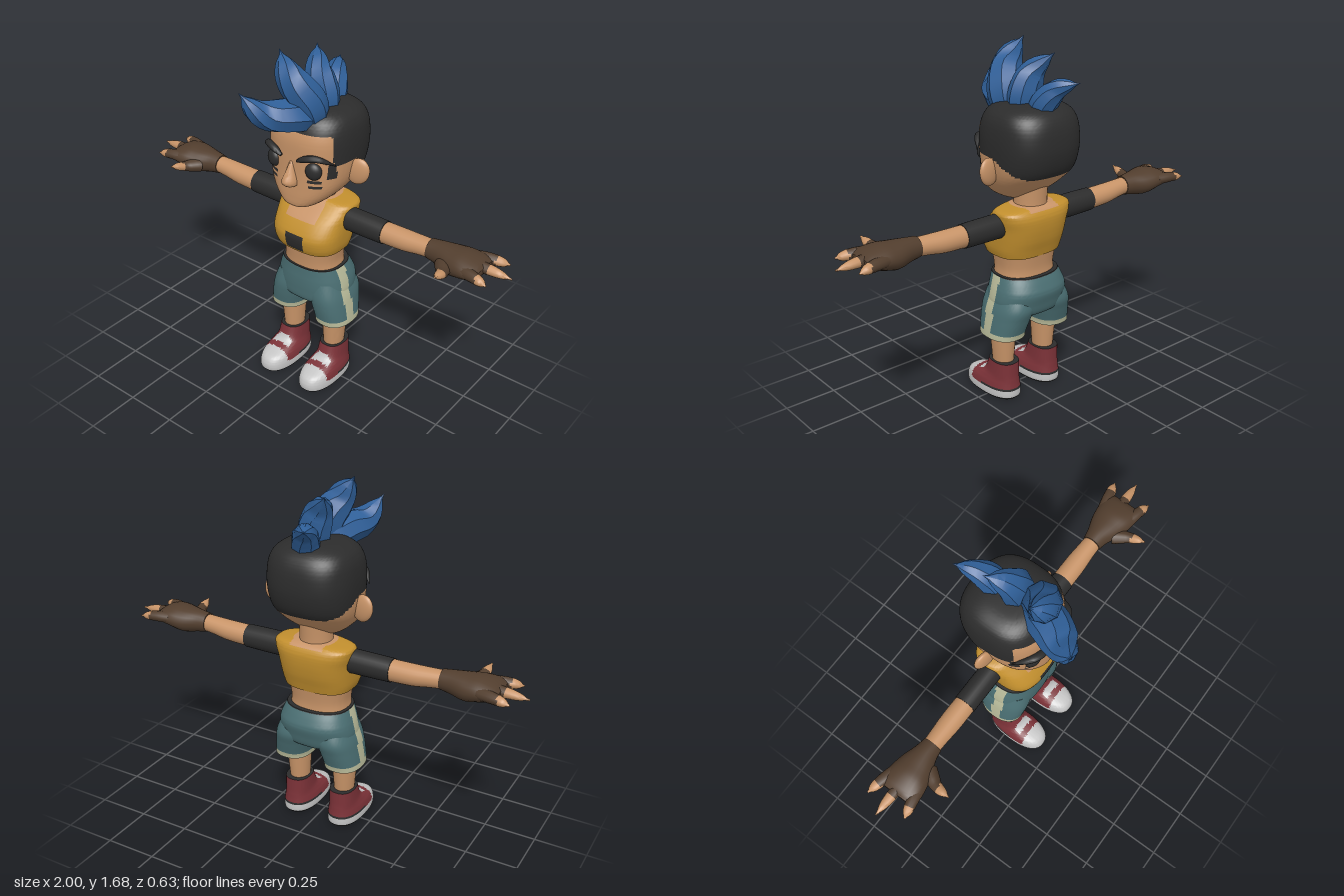
import * as THREE from 'three';
import { toCreasedNormals } from 'three/addons/utils/BufferGeometryUtils.js';

const V = (x, y, z) => new THREE.Vector3(x, y, z);

// Catmull-Rom refinement of a table of rows
function fine(rows, k) {
  const out = [], at = i => rows[Math.min(Math.max(i, 0), rows.length - 1)];
  for (let i = 0; i < rows.length - 1; i++) {
    for (let s = 0; s < k; s++) {
      const t = s / k;
      out.push(rows[i].map((b, c) => {
        const a = at(i - 1)[c], d = at(i + 1)[c], e = at(i + 2)[c];
        return b + 0.5 * t * (d - a + t * (2 * a - 5 * b + 4 * d - e + t * (3 * (b - d) + e - a)));
      }));
    }
  }
  out.push(rows[rows.length - 1]);
  return out;
}

// Closed superellipse outline as [cos, sin] pairs
const outline = (segs, n) => Array.from({ length: segs }, (_, j) => {
  const a = j / segs * Math.PI * 2, p = v => Math.sign(v) * Math.abs(v) ** (2 / n);
  return [p(Math.cos(a)), p(Math.sin(a))];
});

// Rings standing along y, rows [y, halfWidth, zFront, zBack, centreX]
const upright = (rows, { n = 2.4, segs = 80, k = 6 } = {}) =>
  fine(rows, k).map(([y, rx, zf, zb, cx = 0]) => outline(segs, n).map(([c, s]) =>
    V(cx + rx * c, y, (zf + zb) / 2 - (zf - zb) / 2 * s)));

// Rings along x, rows [x, centreY, radiusY, centreZ, radiusZ]
const sideways = rows => fine(rows, 5).map(([x, cy, ry, cz, rz]) =>
  outline(24, 2).map(([c, s]) => V(x, cy + ry * c, cz + rz * s)));

// Rings swept along a curve, radii given as [t-even table of scale]
function swept(points, side, ra, rb, profile, segs = 10, steps = 14) {
  const curve = new THREE.CatmullRomCurve3(points.map(p => V(...p)));
  const scale = fine(profile.map(v => [v]), 8);
  return Array.from({ length: steps + 1 }, (_, i) => {
    const t = i / steps, T = curve.getTangent(t), P = curve.getPoint(t);
    const A = side.clone().addScaledVector(T, -side.dot(T)).normalize(), B = T.clone().cross(A);
    const r = Math.max(scale[Math.round(t * (scale.length - 1))][0], 0.001);
    return outline(segs, 2).map(([c, s]) => P.clone().addScaledVector(A, ra * r * c).addScaledVector(B, rb * r * s));
  });
}

// Skin over rings with end caps; paint(x, y, z) picks a material index per face
function skin(name, rings, mats, paint = () => 0, mirror = 1, crease = 0.9) {
  if (mirror < 0) rings = rings.map(r => r.map(p => V(-p.x, p.y, p.z)).reverse());
  if (!Array.isArray(mats)) mats = [mats];
  const n = rings[0].length, m = rings.length, pts = rings.flat(), buckets = mats.map(() => []);
  const centre = r => r.reduce((s, p) => s.add(p), V(0, 0, 0)).divideScalar(n);
  pts.push(centre(rings[0]), centre(rings[m - 1]));
  const face = (...ids) => {
    const c = V(0, 0, 0);
    ids.forEach(i => c.addScaledVector(pts[i], 1 / ids.length));
    const b = buckets[paint(Math.abs(c.x), c.y, c.z)];
    b.push(ids[0], ids[1], ids[2]);
    if (ids.length > 3) b.push(ids[0], ids[2], ids[3]);
  };
  for (let j = 0; j < n; j++) {
    const q = (j + 1) % n;
    for (let i = 0; i < m - 1; i++) face(i * n + j, i * n + q, (i + 1) * n + q, (i + 1) * n + j);
    face(m * n, q, j);
    face(m * n + 1, (m - 1) * n + j, (m - 1) * n + q);
  }
  const geo = new THREE.BufferGeometry().setFromPoints(pts);
  geo.setIndex(buckets.flat());
  let start = 0;
  buckets.forEach((b, i) => { if (b.length) geo.addGroup(start, b.length, i); start += b.length; });
  const mesh = new THREE.Mesh(toCreasedNormals(geo, crease), mats);
  mesh.name = name;
  return mesh;
}

export function createModel() {
  const model = new THREE.Group();
  model.name = 'character';
  const mat = (name, color) => { const m = new THREE.MeshStandardMaterial({ color }); m.name = name; return m; };
  const tan = mat('skin', 0xc89468), black = mat('charcoal', 0x2c2c2c), blue = mat('blue hair', 0x2f5f98),
    yellow = mat('yellow cloth', 0xc28f2e), teal = mat('teal cloth', 0x4a6e72), cream = mat('cream trim', 0xb9bb9a),
    brown = mat('brown glove', 0x523e2e), red = mat('red canvas', 0x7c3238), white = mat('white rubber', 0xc4c4c4);
  const add = (...a) => model.add(skin(...a));
  const ball = (name, m, pos, size, rot = [0, 0, 0]) => {
    const b = new THREE.Mesh(new THREE.SphereGeometry(1, 24, 16), m);
    b.name = name; b.position.set(...pos); b.scale.set(...size); b.rotation.set(...rot);
    model.add(b);
  };

  // Head with shaved hair, sideburns and cheek marks
  const headPaint = (x, y, z) => {
    const edge = z > -0.07 ? 1.2 : Math.max(1.115, 1.2 + (z + 0.07) * 0.57);
    if (y > 1.345 || (z < 0.058 && y > edge)) return 1;
    if (z > 0.042 && z < 0.08 && x > 0.14 && y > 1.14 && y < 1.21) return 1;
    const mark = (y > 1.12 && y < 1.135) || (y > 1.094 && y < 1.108);
    return mark && z > 0 && x > 0.085 && x < 0.14 ? 1 : 0;
  };
  add('head', upright([
    [0.972, 0.045, 0.12, 0.0], [0.988, 0.09, 0.135, -0.08], [1.03, 0.14, 0.137, -0.14], [1.08, 0.175, 0.135, -0.2],
    [1.14, 0.195, 0.133, -0.255], [1.22, 0.204, 0.133, -0.28], [1.3, 0.204, 0.13, -0.28], [1.36, 0.193, 0.112, -0.265],
    [1.4, 0.165, 0.085, -0.235], [1.425, 0.11, 0.04, -0.18], [1.432, 0.03, -0.04, -0.1],
  ], { n: 2.6, segs: 112, k: 9 }), [tan, black], headPaint);
  add('nose', upright([[1.083, 0.012, 0.15, 0.1], [1.093, 0.032, 0.172, 0.1], [1.115, 0.034, 0.185, 0.1],
    [1.16, 0.02, 0.16, 0.1], [1.205, 0.01, 0.135, 0.1]], { n: 2, segs: 16, k: 4 }), tan);
  add('neck', upright([[0.9, 0.085, 0.0, -0.17], [0.96, 0.077, -0.005, -0.16], [1.08, 0.075, -0.01, -0.17]], { n: 2, segs: 32 }), tan);

  // Mohawk spikes, front to back
  const X = V(1, 0, 0), Z = V(0, 0, 1);
  [
    [[[0.03, 1.39, 0], [-0.01, 1.415, 0.12], [-0.075, 1.445, 0.235], [-0.13, 1.55, 0.31]], 0.09, 0.075],
    [[[0.04, 1.36, 0.02], [0.03, 1.47, 0.055], [-0.03, 1.58, 0.1], [-0.1, 1.68, 0.08]], 0.085, 0.08],
    [[[0.03, 1.36, -0.06], [0.02, 1.46, -0.065], [-0.02, 1.56, -0.08], [-0.08, 1.64, -0.152]], 0.08, 0.065],
    [[[0, 1.34, -0.14], [0, 1.43, -0.17], [-0.03, 1.5, -0.225], [-0.075, 1.535, -0.317]], 0.065, 0.058],
  ].forEach(([path, w, d], i) =>
    add('hairSpike' + (i + 1), swept(path, X, w, d, [0.75, 1, 0.95, 0.65, 0], 8), blue, undefined, 1, 0.6));

  // Crop top with open collar and front panel
  add('cropTop', upright([
    [0.725, 0.165, 0.105, -0.165], [0.76, 0.175, 0.118, -0.175], [0.81, 0.18, 0.12, -0.19], [0.87, 0.183, 0.085, -0.2],
    [0.92, 0.19, 0.035, -0.2], [0.952, 0.183, 0, -0.185], [0.965, 0.1, -0.01, -0.165],
  ], { n: 2.8, segs: 112, k: 8 }), [yellow, tan, black], (x, y, z) => {
    if (z > 0 && x < 0.046 && y > 0.735 && y < 0.815) return 2;
    return x < 0.082 && ((z > -0.04 && y > 0.877) || y > 0.95) ? 1 : 0;
  });
  add('waist', upright([[0.6, 0.145, 0.075, -0.155], [0.66, 0.14, 0.078, -0.152], [0.75, 0.155, 0.09, -0.165]]), tan);

  // Shorts: seat, then legs below
  const stripe = z => z > -0.06 && z < -0.005;
  add('shortsSeat', upright([
    [0.425, 0.13, 0.06, -0.15], [0.45, 0.18, 0.085, -0.185], [0.5, 0.19, 0.09, -0.2], [0.55, 0.183, 0.09, -0.21],
    [0.59, 0.17, 0.087, -0.195], [0.625, 0.156, 0.085, -0.175],
  ], { segs: 112 }), [teal, cream, black], (x, y, z) => y > 0.619 ? 2 : x > 0.1 && stripe(z) ? 1 : 0);

  for (const s of [1, -1]) {
    const side = s > 0 ? 'left' : 'right';

    add(side + 'ShortsLeg', upright([
      [0.33, 0.09, 0.07, -0.155, 0.134], [0.357, 0.09, 0.073, -0.16, 0.131], [0.42, 0.093, 0.082, -0.178, 0.118],
      [0.48, 0.094, 0.084, -0.192, 0.104], [0.55, 0.08, 0.07, -0.17, 0.09],
    ]), [teal, cream], (x, y, z) => y < 0.355 || (x > 0.15 && stripe(z)) ? 1 : 0, s);
    add(side + 'Leg', upright([[0.17, 0.047, 0.022, -0.088, 0.123], [0.25, 0.053, 0.027, -0.095, 0.124],
      [0.37, 0.062, 0.035, -0.105, 0.125]], { n: 2, segs: 24 }), tan, undefined, s);

    // High-top shoe with rubber sole, toe cap and strap
    add(side + 'Shoe', upright([
      [0, 0.074, 0.187, -0.115, 0.123], [0.012, 0.083, 0.2, -0.124, 0.123], [0.045, 0.083, 0.2, -0.124, 0.123],
      [0.075, 0.078, 0.18, -0.12, 0.123], [0.097, 0.07, 0.125, -0.118, 0.123], [0.122, 0.064, 0.065, -0.116, 0.123],
      [0.185, 0.06, 0.037, -0.115, 0.123],
    ]), [red, white, black], (x, y, z) => {
      if (y < 0.012 || (y > 0.046 && y < 0.056 && z < 0.03) || y > 0.184) return 2;
      const strap = z > 0.05 && z < 0.085 && y > 0.09 && Math.abs(x - 0.123) < 0.05;
      return y < 0.046 || z > 0.115 || strap ? 1 : 0;
    }, s);

    // Arm, sleeve and glove
    add(side + 'Sleeve', sideways([[0.15, 0.883, 0.058, -0.068, 0.053], [0.28, 0.883, 0.057, -0.068, 0.053],
      [0.377, 0.883, 0.055, -0.068, 0.053]]), black, undefined, s);
    add(side + 'Forearm', sideways([[0.36, 0.883, 0.051, -0.068, 0.05], [0.48, 0.886, 0.049, -0.068, 0.05],
      [0.56, 0.893, 0.044, -0.067, 0.045], [0.63, 0.898, 0.041, -0.065, 0.042]]), tan, undefined, s);
    add(side + 'Glove', sideways([[0.61, 0.898, 0.046, -0.065, 0.046], [0.66, 0.897, 0.053, -0.065, 0.056],
      [0.73, 0.893, 0.061, -0.062, 0.082], [0.79, 0.9, 0.055, -0.058, 0.095], [0.85, 0.904, 0.037, -0.055, 0.098],
      [0.88, 0.905, 0.016, -0.055, 0.08]]), brown, undefined, s);
    [[-0.125, -0.145, -0.16, 0.945], [-0.06, -0.066, -0.07, 1], [0.005, 0.025, 0.04, 0.94]].forEach(([a, b, c, tip], i) =>
      add(side + 'Finger' + (i + 1), swept([[0.8, 0.905, a], [0.88, 0.907, b], [tip, 0.9, c]], Z, 0.026, 0.024,
        [1.1, 1.1, 1, 0.8, 0.15], 12), [brown, tan], x => x > 0.89 ? 1 : 0, s));
    add(side + 'Thumb', swept([[0.71, 0.885, -0.01], [0.745, 0.895, 0.06], [0.757, 0.92, 0.138]], X, 0.03, 0.026,
      [1.3, 1.15, 0.9, 0.7, 0.15], 12), [brown, tan], (x, y, z) => z > 0.075 ? 1 : 0, s);

    // Ear, eye and brow
    ball(side + 'Ear', tan, [s * 0.22, 1.143, -0.062], [0.054, 0.066, 0.022], [0, s * 0.2, -s * 0.35]);
    ball(side + 'Eye', black, [s * 0.11, 1.18, 0.114], [0.038, 0.041, 0.026], [0, s * 0.3, 0]);
    add(side + 'Brow', swept([[0.045, 1.224, 0.145], [0.085, 1.243, 0.142], [0.13, 1.25, 0.125], [0.188, 1.212, 0.06]],
      V(0, 1, 0), 0.014, 0.017, [0.5, 1, 1.05, 0.9, 0.2], 10), black, undefined, s);
  }
  return model;
}
